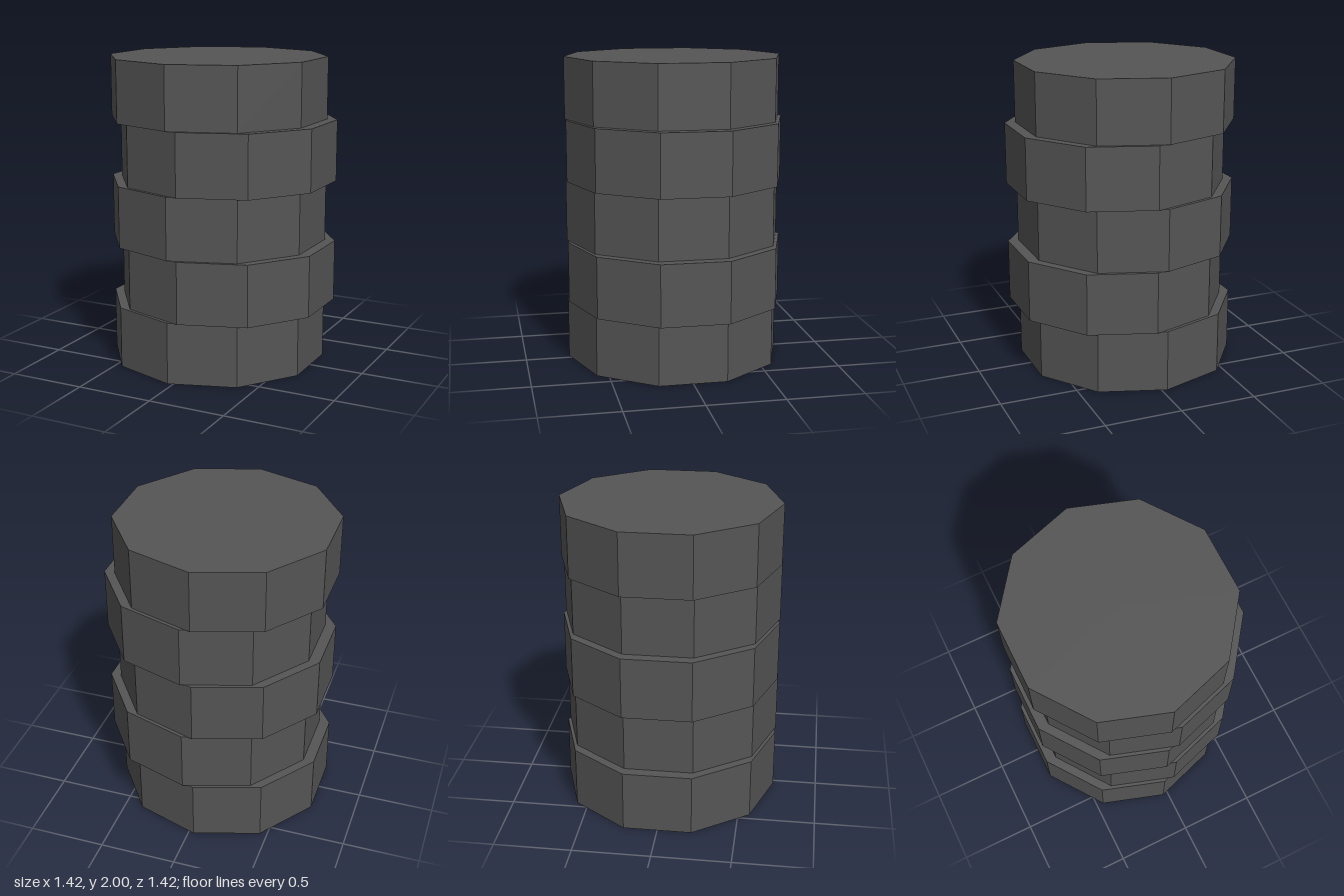
import * as THREE from 'three';

// Stack of ten-sided discs, shifted alternately to the right and left
export function createModel() {
  const group = new THREE.Group();
  group.name = 'stackedColumn';

  const layers = 5, height = 0.4, radius = 0.711, shift = 0.035;
  const geometry = new THREE.CylinderGeometry(radius, radius, height, 10);
  const material = new THREE.MeshStandardMaterial({ color: 0x555555, flatShading: true });

  for (let i = 0; i < layers; i++) {
    const disc = new THREE.Mesh(geometry, material);
    disc.name = `disc${i + 1}`;
    disc.position.set(i % 2 ? shift : -shift, (i + 0.5) * height, 0);
    group.add(disc);
  }
  return group;
}
